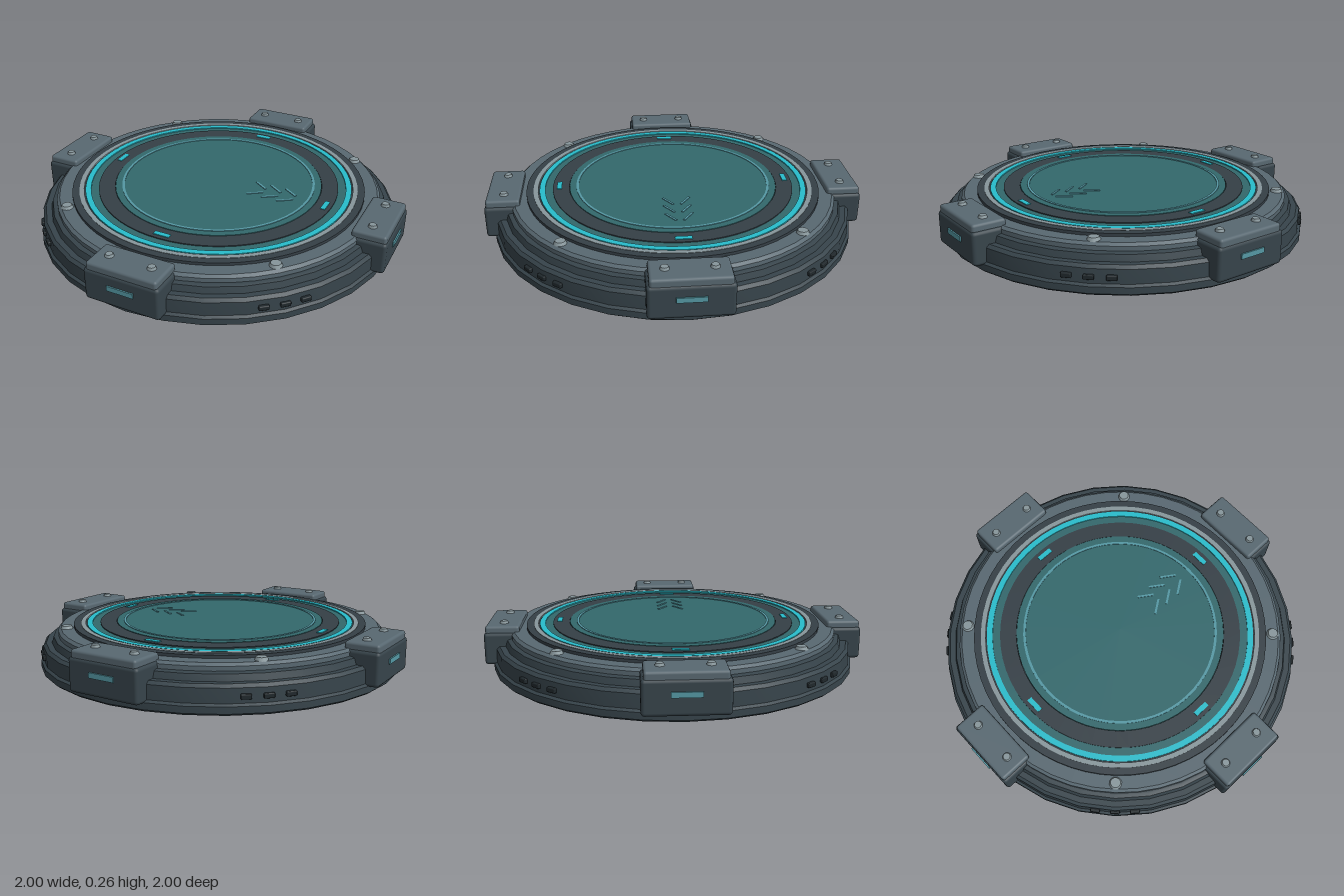
import * as THREE from 'three';
import { toCreasedNormals } from 'three/addons/utils/BufferGeometryUtils.js';
import { RoundedBoxGeometry } from 'three/addons/geometries/RoundedBoxGeometry.js';

const mat = (name, color) => new THREE.MeshStandardMaterial({ name, color });

export function createModel() {
  const hull = mat('dark hull', 0x37444b);
  const deck = mat('slate deck', 0x586871);
  const dark = mat('charcoal', 0x353f46);
  const vent = mat('black vent', 0x20282c);
  const steel = mat('light steel', 0x87969b);
  const cyan = mat('bright cyan', 0x28bccb);
  const teal = mat('teal glass', 0x33686c);
  const pale = mat('pale teal', 0x5598a4);

  const model = new THREE.Group();
  model.name = 'platform';

  const add = (parent, name, geometry, material, x = 0, y = 0, z = 0) => {
    const mesh = new THREE.Mesh(geometry, material);
    mesh.name = name;
    mesh.position.set(x, y, z);
    parent.add(mesh);
    return mesh;
  };
  // Revolved part from [radius, height] pairs, listed from the bottom outwards and up
  const turn = (name, profile, sides, material) => {
    const points = profile.map(([r, y]) => new THREE.Vector2(r, y));
    return add(model, name, toCreasedNormals(new THREE.LatheGeometry(points, sides), 0.5), material);
  };
  // Flat-topped ring with a rectangular section
  const ring = (name, inner, outer, bottom, top, material) => turn(name,
    [[inner, bottom], [outer, bottom], [outer, top], [inner, top], [inner, bottom]], 64, material);

  // Stepped base
  turn('base', [[0, 0], [0.95, 0], [0.965, 0.012], [0.965, 0.045], [0.952, 0.055], [0.95, 0.125],
    [0.935, 0.14], [0.905, 0.14], [0.895, 0.172], [0.88, 0.178], [0.87, 0.178], [0, 0.178]], 32, hull);

  // Deck ring with bevelled outer edge
  turn('deckRing', [[0.76, 0.17], [0.87, 0.17], [0.87, 0.2], [0.855, 0.213], [0.76, 0.213]], 48, deck);

  // Concentric rings and central pad
  ring('outerTrim', 0.75, 0.787, 0.17, 0.228, dark);
  ring('steelRing', 0.725, 0.75, 0.17, 0.23, steel);
  ring('glowGap', 0.718, 0.725, 0.17, 0.222, dark);
  ring('glowRing', 0.688, 0.718, 0.17, 0.229, cyan);
  ring('glassChannel', 0.647, 0.688, 0.17, 0.223, teal);
  ring('innerRing', 0.56, 0.647, 0.17, 0.228, dark);
  turn('centrePad', [[0, 0.17], [0.558, 0.17], [0.558, 0.23], [0, 0.23]], 64, teal);
  ring('padLine', 0.509, 0.522, 0.229, 0.233, pale);

  // Three open chevrons pointing along +x
  for (let i = 0; i < 3; i++) {
    for (const side of [-1, 1]) {
      const bar = add(model, 'chevronBar', new THREE.BoxGeometry(0.088, 0.005, 0.011), pale,
        0.235 + i * 0.085, 0.231, side * 0.044);
      bar.rotation.y = side * 0.6;
    }
  }

  const bolt = (parent, name, r, h, x, y, z) => add(parent, name,
    toCreasedNormals(new THREE.CylinderGeometry(r * 0.75, r, h, 12), 0.6), steel, x, y, z);

  // Four identical quarters: clamp, marker light, deck bolt and vents
  for (let q = 0; q < 4; q++) {
    const quarter = new THREE.Group();
    quarter.name = 'quarter' + (q + 1);
    quarter.rotation.y = q * Math.PI / 2;
    model.add(quarter);

    add(quarter, 'clampBody', new RoundedBoxGeometry(0.4, 0.17, 0.17, 2, 0.018), hull, 0, 0.125, 0.908);
    add(quarter, 'clampCap', new RoundedBoxGeometry(0.375, 0.06, 0.176, 2, 0.014), deck, 0, 0.214, 0.898);
    add(quarter, 'clampLight', new THREE.BoxGeometry(0.14, 0.026, 0.009), pale, 0, 0.142, 0.9955);
    for (const x of [-0.113, 0.113]) bolt(quarter, 'clampBolt', 0.024, 0.016, x, 0.249, 0.895);

    add(quarter, 'markerLight', new THREE.BoxGeometry(0.084, 0.006, 0.026), cyan, 0, 0.229, 0.612);
    bolt(quarter, 'deckBolt', 0.034, 0.018, 0.583, 0.219, 0.583);

    for (const step of [-1, 0, 1]) {
      const angle = Math.PI / 4 + step * 0.108;
      const slot = add(quarter, 'ventSlot', new RoundedBoxGeometry(0.05, 0.024, 0.03, 1, 0.005), vent,
        0.948 * Math.sin(angle), 0.087, 0.948 * Math.cos(angle));
      slot.rotation.y = angle;
    }
  }
  return model;
}
